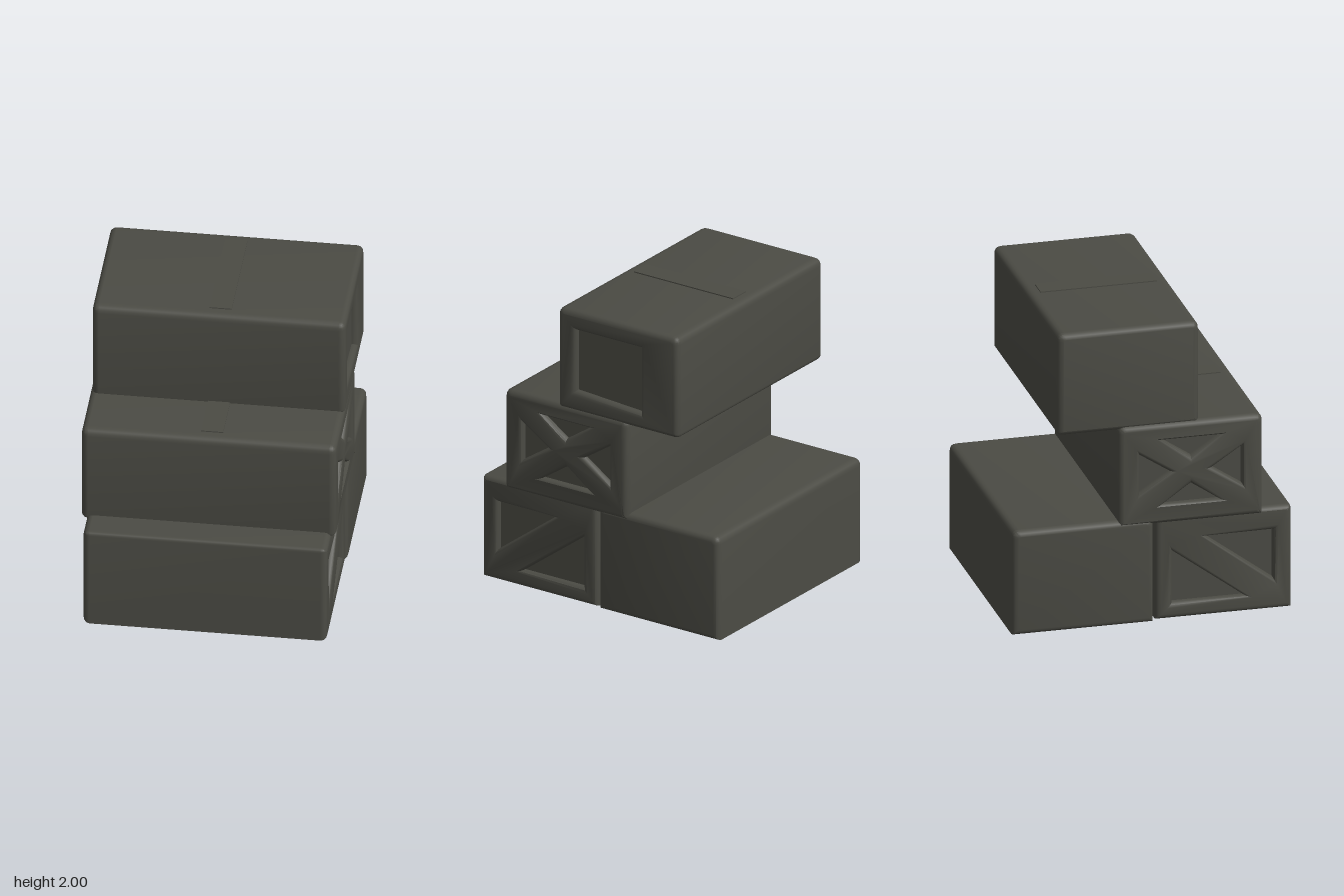
import * as THREE from 'three';
import { toCreasedNormals } from 'three/addons/utils/BufferGeometryUtils.js';

const BEVEL = 0.04;

// Crate outline across its length; s = -1 mirrors z so +x ends can be turned outward.
function profile(c, s) {
  const [a, b] = s > 0 ? [c.z0, c.z1] : [-c.z1, -c.z0];
  const { y0, y1, top: t, bottom: u } = c;
  const p = new THREE.Shape();
  p.moveTo(a + u, y0);
  p.lineTo(b - u, y0);
  if (u > 0.01) p.quadraticCurveTo(b, y0, b, y0 + u);
  else p.lineTo(b, y0 + u);
  p.lineTo(b, y1 - t);
  p.quadraticCurveTo(b, y1, b - t, y1);
  p.lineTo(a + t, y1);
  p.quadraticCurveTo(a, y1, a, y1 - t);
  p.lineTo(a, y0 + u);
  if (u > 0.01) p.quadraticCurveTo(a, y0, a + u, y0);
  return p;
}

function crate(name, c, material) {
  const group = new THREE.Group();
  group.name = name;
  const add = (part, geometry) => {
    const mesh = new THREE.Mesh(toCreasedNormals(geometry, 0.6), material);
    mesh.name = part;
    group.add(mesh);
  };

  // Long body
  const body = new THREE.ExtrudeGeometry(profile(c, -1), {
    depth: c.x1 - c.x0 - 2 * BEVEL, bevelEnabled: false, curveSegments: 4,
  });
  body.rotateY(Math.PI / 2).translate(c.x0 + BEVEL, 0, 0);
  add('body', body);

  // Rounded end panels, with sunken fields between the braces
  for (const side of [1, -1]) {
    const shape = profile(c, -side);
    const fields = (side > 0 ? c.rightFields : c.leftFields) || [];
    for (const field of fields) {
      shape.holes.push(new THREE.Path(field.map(([z, y]) => new THREE.Vector2(-side * z, y))));
    }
    const end = new THREE.ExtrudeGeometry(shape, {
      depth: 0.001, bevelThickness: BEVEL, bevelSize: BEVEL * 0.9, bevelOffset: -BEVEL * 0.9,
      bevelSegments: 3, curveSegments: 4,
    });
    end.rotateY(side * Math.PI / 2).translate(side > 0 ? c.x1 - BEVEL : c.x0 + BEVEL, 0, 0);
    add(side > 0 ? 'rightEnd' : 'leftEnd', end);
  }

  // Flat strap across the lid
  if (c.strap) {
    const strap = new THREE.BoxGeometry(0.14, 0.008, c.z1 - c.z0 - 0.16);
    strap.translate(0.01, c.y1 + 0.003, (c.z0 + c.z1) / 2);
    add('lidStrap', strap);
  }
  return group;
}

export function createModel() {
  const model = new THREE.Group();
  model.name = 'crateStack';
  const olive = new THREE.MeshStandardMaterial({ color: 0x4b4b44 });
  olive.name = 'darkOliveGrey';

  // Fields around a crossed brace
  const cross = [
    [[0.58, 1.13], [0.58, 0.88], [0.39, 1.005]],
    [[-0.08, 1.13], [-0.08, 0.88], [0.11, 1.005]],
    [[0.43, 1.22], [0.07, 1.22], [0.25, 1.1]],
    [[0.43, 0.79], [0.07, 0.79], [0.25, 0.91]],
  ];
  // Fields around a single diagonal brace
  const diagonal = [
    [[0.79, 0.53], [0.79, 0.21], [0.36, 0.53]],
    [[0.6, 0.11], [0.14, 0.11], [0.14, 0.45]],
  ];

  const crates = {
    frontCrate: {
      x0: -0.77, x1: 0.77, y0: 0, y1: 0.69, z0: 0.03, z1: 0.91, top: 0.025, bottom: 0,
      rightFields: diagonal, leftFields: diagonal,
    },
    backCrate: { x0: -0.8, x1: 0.785, y0: 0, y1: 0.7, z0: -0.905, z1: 0.01, top: 0.05, bottom: 0 },
    middleCrate: {
      x0: -0.805, x1: 0.8, y0: 0.66, y1: 1.335, z0: -0.22, z1: 0.715, top: 0.05, bottom: 0.02,
      rightFields: cross, leftFields: cross, strap: true,
    },
    topCrate: {
      x0: -0.79, x1: 0.805, y0: 1.31, y1: 1.993, z0: -0.61, z1: 0.305, top: 0.05, bottom: 0.03,
      rightFields: [[[0.17, 1.45], [-0.32, 1.42], [-0.32, 1.86], [0.17, 1.86]]], strap: true,
    },
  };
  for (const [name, c] of Object.entries(crates)) model.add(crate(name, c, olive));
  return model;
}
